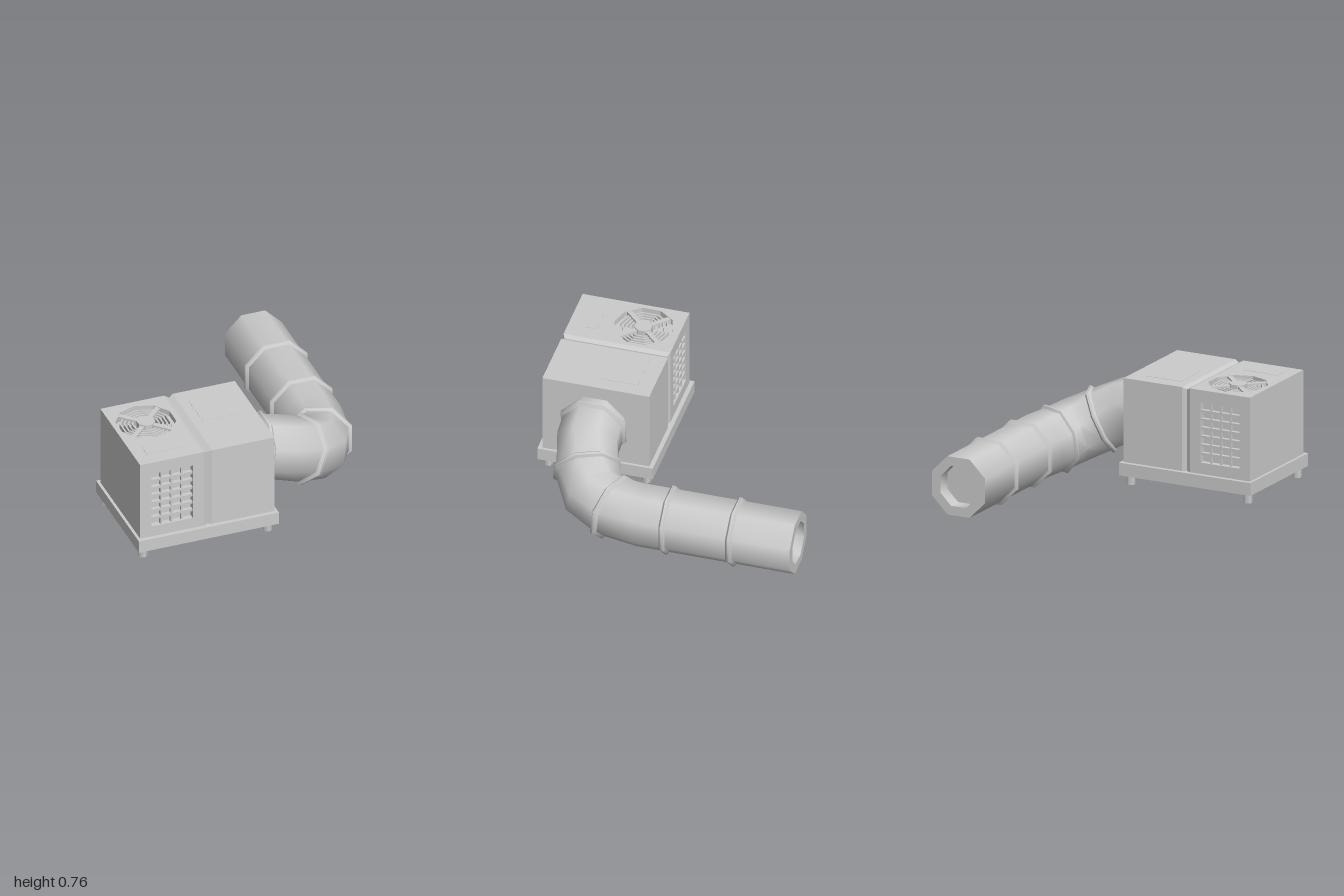
import * as THREE from 'three';
import { toCreasedNormals } from 'three/addons/utils/BufferGeometryUtils.js';

const material = new THREE.MeshStandardMaterial({ color: 0xcccccc });
const V = (x, y, z) => new THREE.Vector3(x, y, z);

export function createModel() {
  const root = new THREE.Group();

  const add = (name, geometry, x = 0, y = 0, z = 0, parent = root) => {
    const mesh = new THREE.Mesh(geometry, material);
    mesh.name = name;
    mesh.position.set(x, y, z);
    parent.add(mesh);
    return mesh;
  };

  // Box given by its minimum and maximum corners
  const block = (name, a, b, parent = root) =>
    add(name, new THREE.BoxGeometry(b[0] - a[0], b[1] - a[1], b[2] - a[2]),
      (a[0] + b[0]) / 2, (a[1] + b[1]) / 2, (a[2] + b[2]) / 2, parent);

  // Skin over closed loops of equal point count
  const loft = (loops, crease) => {
    const n = loops[0].length, index = [];
    for (let i = 0; i < loops.length - 1; i++)
      for (let j = 0; j < n; j++) {
        const k = (j + 1) % n, a = i * n + j, b = i * n + k;
        index.push(a, b, b + n, a, b + n, a + n);
      }
    const g = new THREE.BufferGeometry().setFromPoints(loops.flat());
    g.setIndex(index);
    return toCreasedNormals(g, crease);
  };

  // Octagon with flat top and sides; r is the distance to a flat
  const octagon = (centre, tangent, r) => {
    const t = tangent.clone().normalize();
    const u = V(0, 1, 0).cross(t).normalize(), v = t.clone().cross(u);
    const R = r / Math.cos(Math.PI / 8);
    return Array.from({ length: 8 }, (_, i) => {
      const a = (i + 0.5) * Math.PI / 4;
      return centre.clone().addScaledVector(u, R * Math.cos(a)).addScaledVector(v, R * Math.sin(a));
    });
  };

  const rectShape = (x0, y0, x1, y1, Type = THREE.Shape) => {
    const s = new Type();
    s.moveTo(x0, y0).lineTo(x1, y0).lineTo(x1, y1).lineTo(x0, y1).closePath();
    return s;
  };

  // Base tray and feet
  block('base', [-0.91, 0.08, 0.19], [0.1, 0.17, 1]);
  for (const x of [-0.86, 0.04])
    for (const z of [0.25, 0.94])
      add('foot', new THREE.CylinderGeometry(0.032, 0.032, 0.07, 6), x, 0.048, z);

  // Right housing, joined to the left one by a V groove
  const slice = (x, d) => [
    V(x, 0.17, 0.22 + d), V(x, 0.76 - d, 0.22 + d), V(x, 0.76 - d, 0.97 - d), V(x, 0.17, 0.97 - d)];
  const endCap = Array.from({ length: 4 }, () => V(0.08, 0.465, 0.595));
  add('mainHousing', loft([slice(-0.43, 0), slice(-0.4, 0.015), slice(-0.37, 0), slice(0.08, 0), endCap], 0.3));

  // Left housing: walls around a recessed core
  block('sideWall', [-0.89, 0.17, 0.26], [-0.85, 0.72, 0.93]);
  block('core', [-0.85, 0.17, 0.27], [-0.43, 0.68, 0.92]);
  for (const z of [0.22, 0.93]) {
    const wall = rectShape(-0.89, 0.17, -0.43, 0.76);
    wall.holes.push(rectShape(-0.81, 0.25, -0.51, 0.67, THREE.Path));
    add('grilleWall', new THREE.ExtrudeGeometry(wall, { depth: 0.04, bevelEnabled: false }), 0, 0, z);

    // Grille of slats and upright bars
    const grille = new THREE.Group();
    grille.name = 'grille';
    root.add(grille);
    for (let i = 1; i < 4; i++) {
      const x = -0.81 + i * 0.075;
      block('uprightBar', [x - 0.006, 0.25, z + 0.01], [x + 0.006, 0.67, z + 0.03], grille);
    }
    for (let i = 1; i < 7; i++) {
      const y = 0.25 + i * 0.06;
      block('slat', [-0.81, y - 0.009, z + 0.006], [-0.51, y + 0.009, z + 0.034], grille);
    }
  }

  // Top plate with a ten-sided fan opening
  const fanX = -0.66, fanZ = 0.475;
  const top = rectShape(-0.89, -0.93, -0.43, -0.26);
  const opening = Array.from({ length: 10 }, (_, i) => {
    const a = Math.PI / 2 + i * Math.PI / 5;
    return new THREE.Vector2(fanX + 0.205 * Math.cos(a), -fanZ + 0.205 * Math.sin(a));
  });
  top.holes.push(new THREE.Path(opening));
  const topGeometry = new THREE.ExtrudeGeometry(top, { depth: 0.04, bevelEnabled: false });
  topGeometry.rotateX(-Math.PI / 2);
  add('topPlate', topGeometry, 0, 0.72, 0);

  // Fan guard: rings, crossed bars and hub
  const fan = new THREE.Group();
  fan.name = 'fanGuard';
  fan.position.set(fanX, 0, fanZ);
  root.add(fan);
  for (const r of [0.085, 0.112, 0.139, 0.166]) {
    const profile = [[r, 0.715], [r + 0.012, 0.715], [r + 0.012, 0.745], [r, 0.745], [r, 0.715]]
      .map(p => new THREE.Vector2(...p));
    add('guardRing', toCreasedNormals(new THREE.LatheGeometry(profile, 10), 0.3), 0, 0, 0, fan);
  }
  for (const a of [1, -1])
    add('guardBar', new THREE.BoxGeometry(0.404, 0.04, 0.034), 0, 0.736, 0, fan).rotation.y = a * Math.PI / 4;
  const hub = toCreasedNormals(new THREE.CylinderGeometry(0.063, 0.063, 0.06, 8), 0.3);
  add('hub', hub, 0, 0.735, 0, fan).rotation.y = Math.PI / 8;

  // Thin cover plates on the top
  block('smallCover', [-0.8, 0.758, 0.77], [-0.54, 0.762, 0.86]);
  block('largeCover', [-0.3, 0.758, 0.33], [-0.02, 0.762, 0.61]);

  // Duct: eight-sided pipe bending down and back, with a recessed mouth
  const path = [
    V(0.07, 0.46, 0.6), V(0.12, 0.457, 0.6), V(0.25, 0.42, 0.6), V(0.43, 0.335, 0.555),
    V(0.58, 0.262, 0.46), V(0.65, 0.228, 0.31), V(0.68, 0.226, 0.1), V(0.68, 0.226, -1)];
  const tangents = [
    V(1, 0, 0), V(1, -0.15, 0), V(1, -0.4, -0.08), V(0.85, -0.42, -0.36),
    V(0.68, -0.28, -0.68), V(0.37, -0.12, -0.92), V(0.05, 0, -1), V(0, 0, -1)];
  const duct = path.map((p, i) => octagon(p, tangents[i], 0.205));
  const back = V(0, 0, -1);
  duct.push(octagon(path[7], back, 0.14),
    octagon(V(0.68, 0.226, -0.9), back, 0.14),
    octagon(V(0.68, 0.226, -0.9), back, 0.001));
  add('duct', loft(duct, 0.9));

  // Raised bands around the duct
  const bands = [
    [path[1], tangents[1]], [path[3], tangents[3]], [path[5], tangents[5]],
    [V(0.68, 0.226, -0.1), back], [V(0.68, 0.226, -0.57), back]];
  for (const [centre, tangent] of bands) {
    const t = tangent.clone().normalize();
    const loops = [[-0.026, 0.2], [-0.008, 0.225], [0.008, 0.225], [0.026, 0.2]]
      .map(([d, r]) => octagon(centre.clone().addScaledVector(t, d), t, r));
    add('ductBand', loft(loops, 0.9));
  }

  return root;
}
